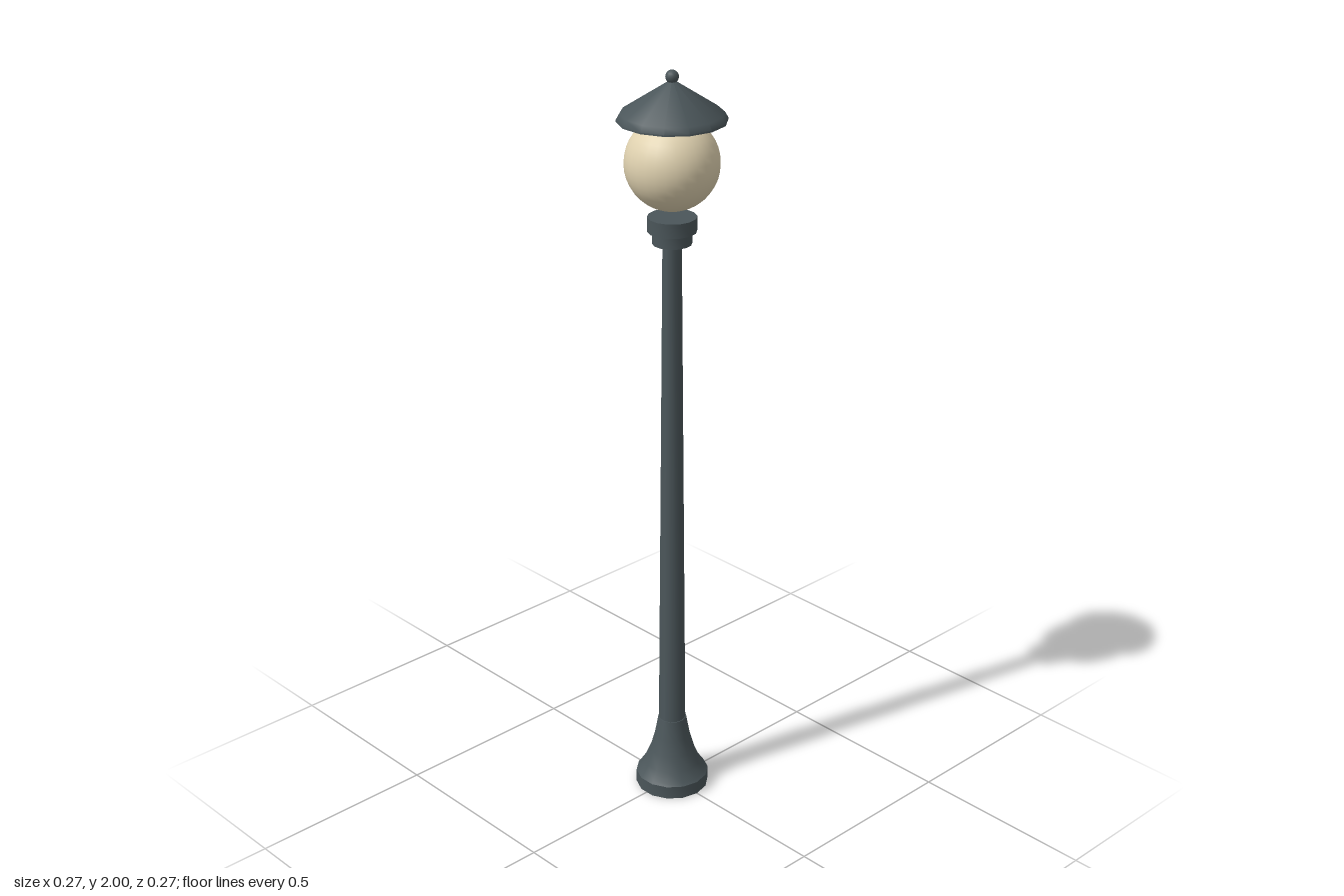
import * as THREE from 'three';
import { toCreasedNormals } from 'three/addons/utils/BufferGeometryUtils.js';

const SIDES = 14;

export function createModel() {
  const group = new THREE.Group();
  const iron = new THREE.MeshStandardMaterial({ color: 0x4b565a });
  iron.name = 'dark iron';
  const glass = new THREE.MeshStandardMaterial({ color: 0xe0d2b0 });
  glass.name = 'cream glass';

  const add = (name, geometry, material) => {
    const mesh = new THREE.Mesh(geometry, material);
    mesh.name = name;
    group.add(mesh);
    return mesh;
  };

  // Turned iron part from [radius, height] pairs, listed bottom to top
  const turned = (name, profile) => {
    const points = profile.map(([r, y]) => new THREE.Vector2(r, y));
    const geometry = new THREE.LatheGeometry(points, SIDES, Math.PI / 2);
    return add(name, toCreasedNormals(geometry, 0.55), iron);
  };

  // Foot with a concave flare up to the pole
  turned('base', [
    [0, 0], [0.098, 0], [0.098, 0.036], [0.092, 0.043], [0.076, 0.068],
    [0.06, 0.107], [0.048, 0.15], [0.038, 0.205], [0, 0.205],
  ]);

  // Slightly tapered pole
  turned('pole', [[0.036, 0.2], [0.024, 1.57]]);

  // Two-step collar below the globe
  turned('collar', [
    [0, 1.565], [0.05, 1.565], [0.05, 1.594], [0.062, 1.597], [0.062, 1.634], [0, 1.634],
  ]);

  // Lamp globe
  const globe = add('globe', new THREE.SphereGeometry(0.118, 28, 20), glass);
  globe.position.y = 1.77;

  // Conical cap with a bevelled rim
  turned('cap', [[0, 1.876], [0.136, 1.876], [0.136, 1.88], [0.127, 1.895], [0.008, 1.973], [0, 1.973]]);

  // Ball on top of the cap
  const finial = add('finial', new THREE.SphereGeometry(0.0165, 14, 10), iron);
  finial.position.y = 1.9835;

  return group;
}
